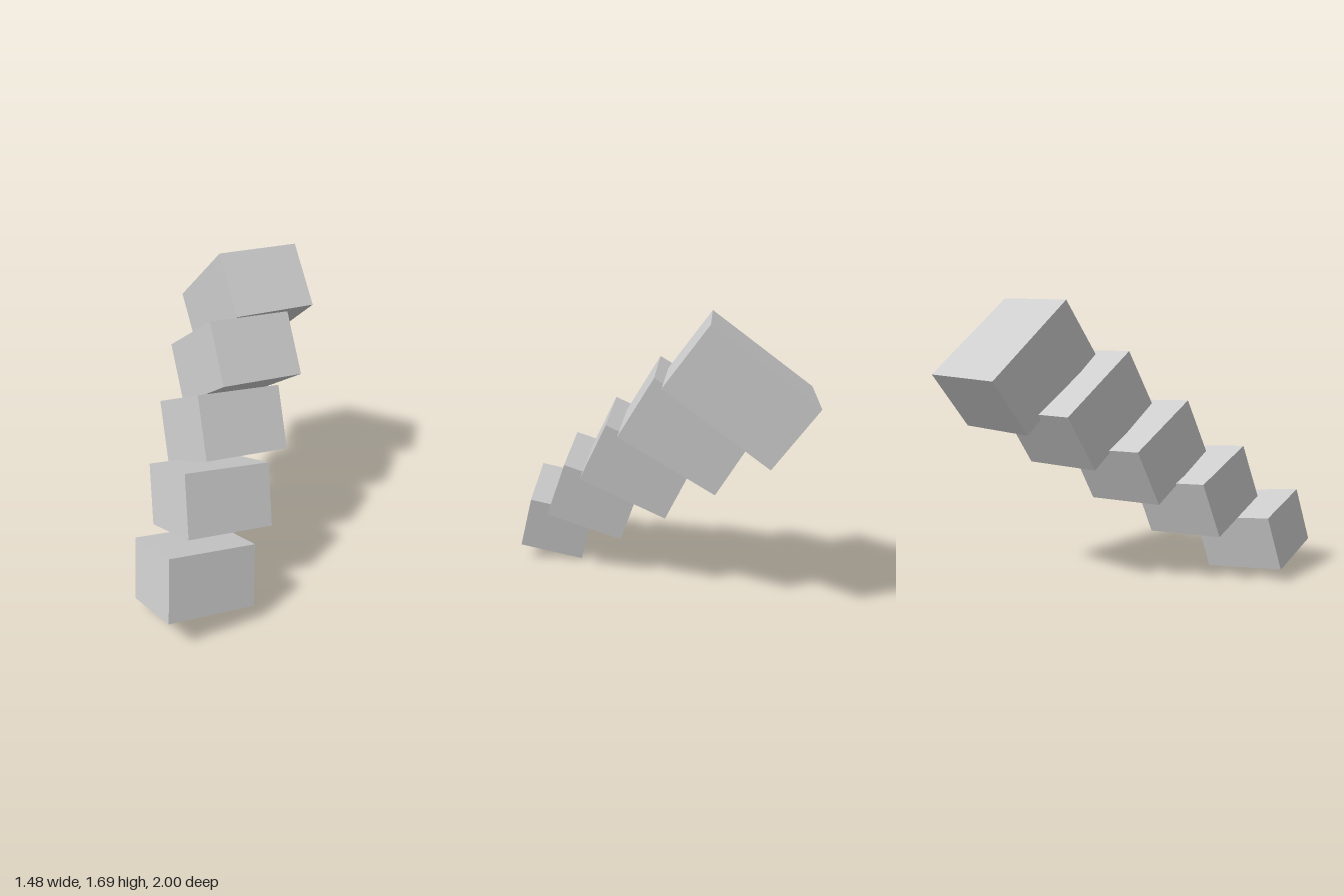
import * as THREE from 'three';

// Each block: upper front corner, then its size (width, height, depth)
// and the directions of its width (towards +x) and depth (towards the front).
const BLOCKS = [
  { corner: [0.50, 0.51, 0.925], size: [0.402, 0.345, 0.514], side: [0.371, 0.098, 0.118], front: [-0.178, 0.078, 0.476] },
  { corner: [0.324, 0.801, 0.614], size: [0.473, 0.356, 0.514], side: [0.42, 0.158, 0.15], front: [-0.192, 0.059, 0.473] },
  { corner: [0.141, 1.093, 0.308], size: [0.545, 0.367, 0.514], side: [0.46, 0.237, 0.167], front: [-0.196, 0.039, 0.476] },
  { corner: [-0.042, 1.392, 0.0], size: [0.618, 0.382, 0.515], side: [0.494, 0.322, 0.187], front: [-0.197, 0.016, 0.475] },
  { corner: [-0.237, 1.688, -0.308], size: [0.69, 0.4, 0.517], side: [0.511, 0.411, 0.213], front: [-0.2, 0, 0.477] },
];

export function createModel() {
  const model = new THREE.Group();
  model.name = 'leaningBlockStack';
  const grey = new THREE.MeshStandardMaterial({ color: 0xcccccc });
  grey.name = 'lightGrey';

  BLOCKS.forEach(({ corner, size, side, front }, i) => {
    // Square up the three axes of the tilted block
    const x = new THREE.Vector3(...side).normalize();
    const y = new THREE.Vector3(...front).cross(x).normalize();
    const z = new THREE.Vector3().crossVectors(x, y);

    const [w, h, d] = size;
    const geometry = new THREE.BoxGeometry(w, h, d);
    geometry.translate(-w / 2, -h / 2, -d / 2); // pivot at the upper front corner
    const block = new THREE.Mesh(geometry, grey);
    block.name = `block${i + 1}`;
    block.quaternion.setFromRotationMatrix(new THREE.Matrix4().makeBasis(x, y, z));
    block.position.set(...corner);
    model.add(block);
  });
  return model;
}
